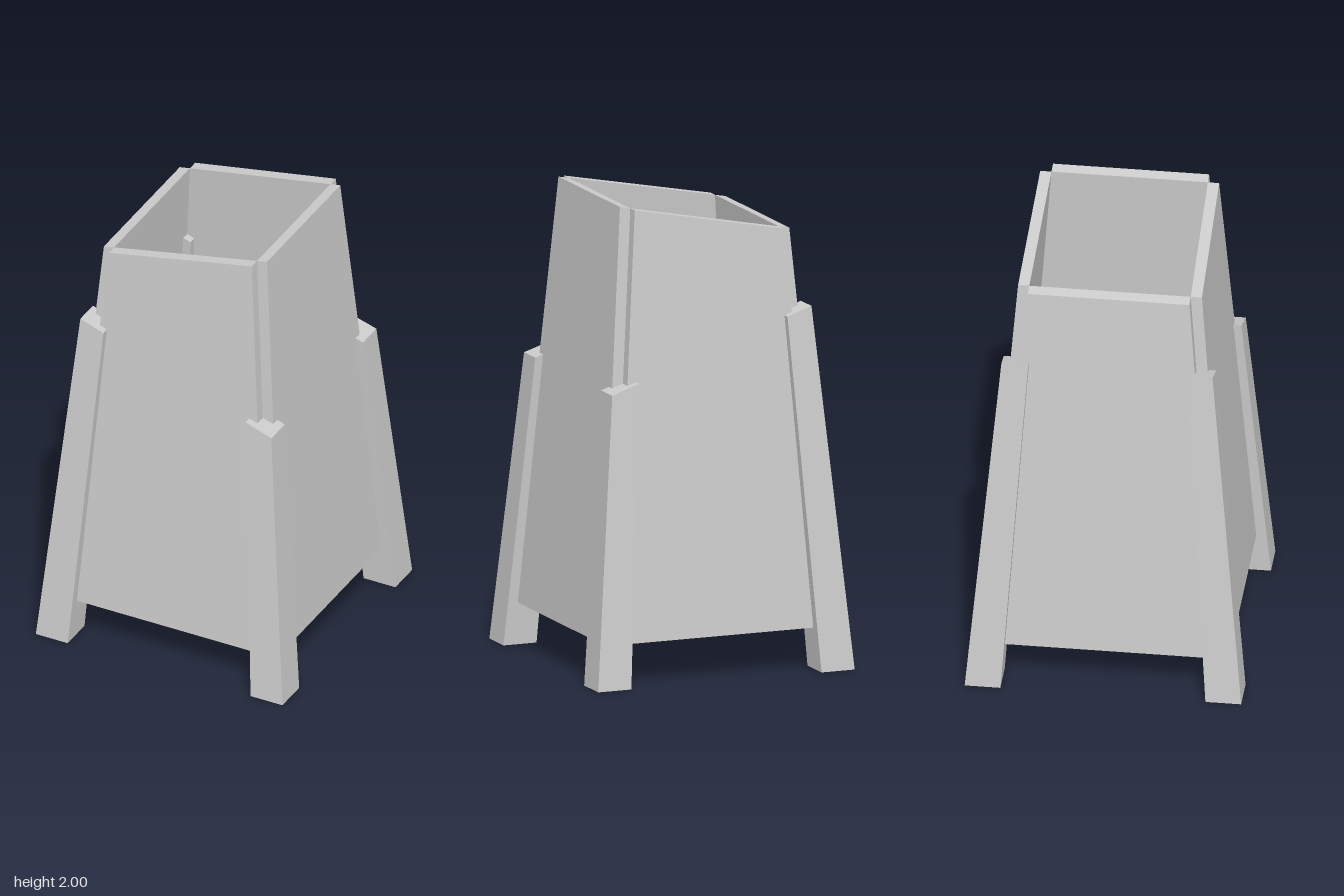
import * as THREE from 'three';

// A leaning line: distance from the axis is base - lean * y
const line = (base, lean) => ({ base, lean });
const flip = (l) => line(-l.base, -l.lean);
const at = (l, y) => l.base - l.lean * y;

const panelOut = line(0.534, 0.0797);
const panelIn = line(0.485, 0.0788);
const legOut = line(0.58, 0.0895);
const legIn = line(0.43, 0.065);

const material = new THREE.MeshStandardMaterial({ color: 0xcccccc, flatShading: true });

// Six-sided block between leaning sides, with a level bottom and a top cut by y = height + slope * x
function leaningBlock(name, [xLo, xHi], [zLo, zHi], bottom, cut) {
  const geo = new THREE.BoxGeometry(1, 1, 1);
  const pos = geo.attributes.position;
  for (let i = 0; i < pos.count; i++) {
    const x = pos.getX(i) < 0 ? xLo : xHi;
    const z = pos.getZ(i) < 0 ? zLo : zHi;
    const y = pos.getY(i) < 0
      ? bottom
      : (cut.height + cut.slope * x.base) / (1 + cut.slope * x.lean);
    pos.setXYZ(i, at(x, y), y, at(z, y));
  }
  geo.computeVertexNormals();
  const mesh = new THREE.Mesh(geo, material);
  mesh.name = name;
  return mesh;
}

export function createModel() {
  const model = new THREE.Group();
  model.name = 'taperedPlanter';

  // On the positive side as given, or mirrored to the negative side
  const side = (inner, outer, s) => (s > 0 ? [inner, outer] : [flip(outer), flip(inner)]);
  const span = [flip(panelIn), panelIn];

  // Four wall panels, meeting at their inner corners, under one sloping rim
  const rim = { height: 1.9265, slope: 0.196 };
  for (const s of [1, -1]) {
    model.add(leaningBlock(s > 0 ? 'frontPanel' : 'backPanel', span, side(panelIn, panelOut, s), 0.18, rim));
    model.add(leaningBlock(s > 0 ? 'leftPanel' : 'rightPanel', side(panelIn, panelOut, s), span, 0.18, rim));
  }

  // Four tapered corner legs, cut by a plane sloping the other way
  const legCut = { height: 1.387, slope: -0.33 };
  for (const sx of [1, -1]) {
    for (const sz of [1, -1]) {
      const name = (sz > 0 ? 'front' : 'back') + (sx > 0 ? 'Left' : 'Right') + 'Leg';
      model.add(leaningBlock(name, side(legIn, legOut, sx), side(legIn, legOut, sz), 0, legCut));
    }
  }
  return model;
}
